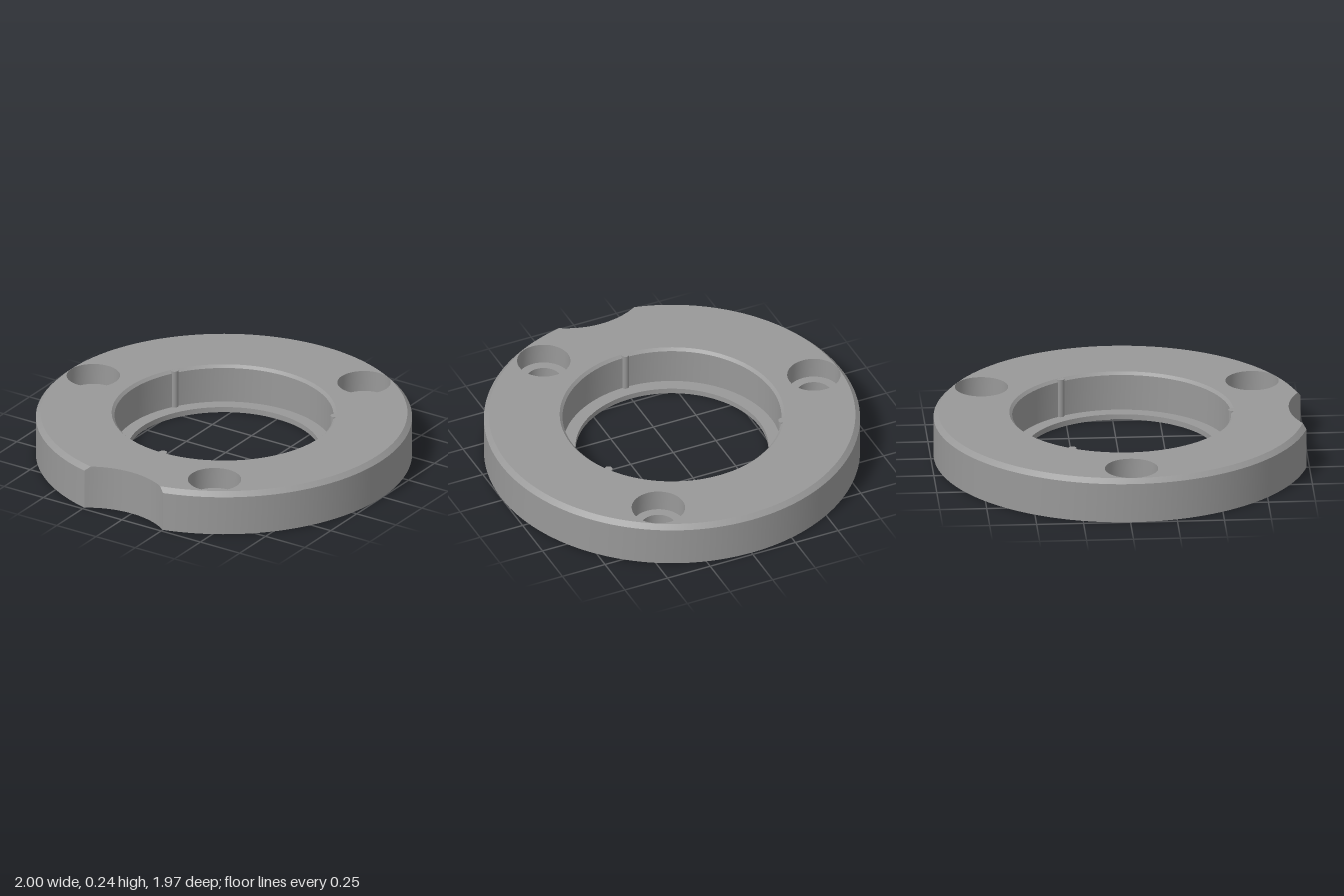
import * as THREE from 'three';
import { toCreasedNormals } from 'three/addons/utils/BufferGeometryUtils.js';

const H = 0.242;                        // total height
const NOTCH = { z: 1.33, r: 0.44 };     // circle cutting the front edge
const HOLE_ANGLES = [30, 150, 270], RIB_ANGLES = [0, 120, 240];

// Loops are [x, z] points, counterclockwise seen from above
function circle(r, cx = 0, cz = 0, n = 128) {
  return Array.from({ length: n }, (_, i) => {
    const a = (i / n) * Math.PI * 2;
    return [cx + r * Math.sin(a), cz + r * Math.cos(a)];
  });
}

// Disc outline with the concave front notch
function outline(R, n = 160, m = 24) {
  const z = (R * R - NOTCH.r ** 2 + NOTCH.z ** 2) / (2 * NOTCH.z);
  const x = Math.sqrt(R * R - z * z);
  const a0 = Math.atan2(x, z), b0 = Math.asin(x / NOTCH.r);
  const pts = [];
  for (let i = 0; i <= n; i++) {
    const a = a0 + (i / n) * (2 * Math.PI - 2 * a0);
    pts.push([R * Math.sin(a), R * Math.cos(a)]);
  }
  for (let i = 1; i < m; i++) {
    const b = -b0 + (i / m) * 2 * b0;
    pts.push([NOTCH.r * Math.sin(b), NOTCH.z - NOTCH.r * Math.cos(b)]);
  }
  return pts;
}

// Skin through [loop, y] sections: rising faces outward, falling faces inward
function loft(sections) {
  const pos = [], index = [], n = sections[0][0].length;
  for (const [loop, y] of sections) for (const [x, z] of loop) pos.push(x, y, z);
  for (let s = 0; s < sections.length - 1; s++) {
    for (let i = 0; i < n; i++) {
      const a = s * n + i, b = s * n + (i + 1) % n;
      index.push(a, b, b + n, a, b + n, a + n);
    }
  }
  const g = new THREE.BufferGeometry();
  g.setAttribute('position', new THREE.Float32BufferAttribute(pos, 3));
  g.setIndex(index);
  return toCreasedNormals(g, Math.PI / 6);
}

// Flat face with holes, facing up (dir 1) or down (dir -1)
function cap(loop, holes, y, dir) {
  const pts = (l) => l.map(([x, z]) => new THREE.Vector2(x, -dir * z));
  const shape = new THREE.Shape(pts(loop));
  shape.holes = holes.map((h) => new THREE.Path(pts(h)));
  return new THREE.ShapeGeometry(shape).rotateX(-dir * Math.PI / 2).translate(0, y, 0);
}

function polar(deg, r) {
  const a = THREE.MathUtils.degToRad(deg);
  return [r * Math.sin(a), r * Math.cos(a)];
}

export function createModel() {
  const model = new THREE.Group();
  model.name = 'mountingRing';
  const grey = new THREE.MeshStandardMaterial({ color: 0x999999 });
  grey.name = 'grey';
  const body = new THREE.Group();
  body.name = 'ringBody';
  body.position.z = 0.016;
  model.add(body);
  const add = (name, geometry) => {
    const mesh = new THREE.Mesh(geometry, grey);
    mesh.name = name;
    body.add(mesh);
    return mesh;
  };

  const centres = HOLE_ANGLES.map((d) => polar(d, 0.832));
  const recesses = centres.map(([x, z]) => circle(0.142, x, z, 48));

  // Chamfered rim, top and bottom faces
  add('outerWall', loft([[outline(1), 0], [outline(1), 0.217], [outline(0.975), H]]));
  add('topFace', cap(outline(0.975), [circle(0.597), ...recesses], H, 1));
  add('bottomFace', cap(outline(1), [circle(0.513), ...recesses], 0, -1));

  // Stepped bore with a thin lip at the bottom
  add('bore', loft([
    [circle(0.597), H], [circle(0.582), H - 0.015], [circle(0.582), 0.03],
    [circle(0.513), 0.03], [circle(0.513), 0],
  ]));

  // Screw holes, counterbored deep above and shallow below
  centres.forEach(([x, z], i) => {
    const c = (r) => circle(r, x, z, 48);
    add('screwHole' + (i + 1), loft([
      [c(0.142), H], [c(0.142), 0.125], [c(0.092), 0.125],
      [c(0.092), 0.02], [c(0.142), 0.02], [c(0.142), 0],
    ]));
  });

  // Slim locating ribs on the bore wall
  RIB_ANGLES.forEach((deg, i) => {
    const [x, z] = polar(deg, 0.588);
    const height = H - 0.031;
    add('locatingRib' + (i + 1), new THREE.CylinderGeometry(0.021, 0.021, height, 20))
      .position.set(x, 0.03 + height / 2, z);
  });

  return model;
}
